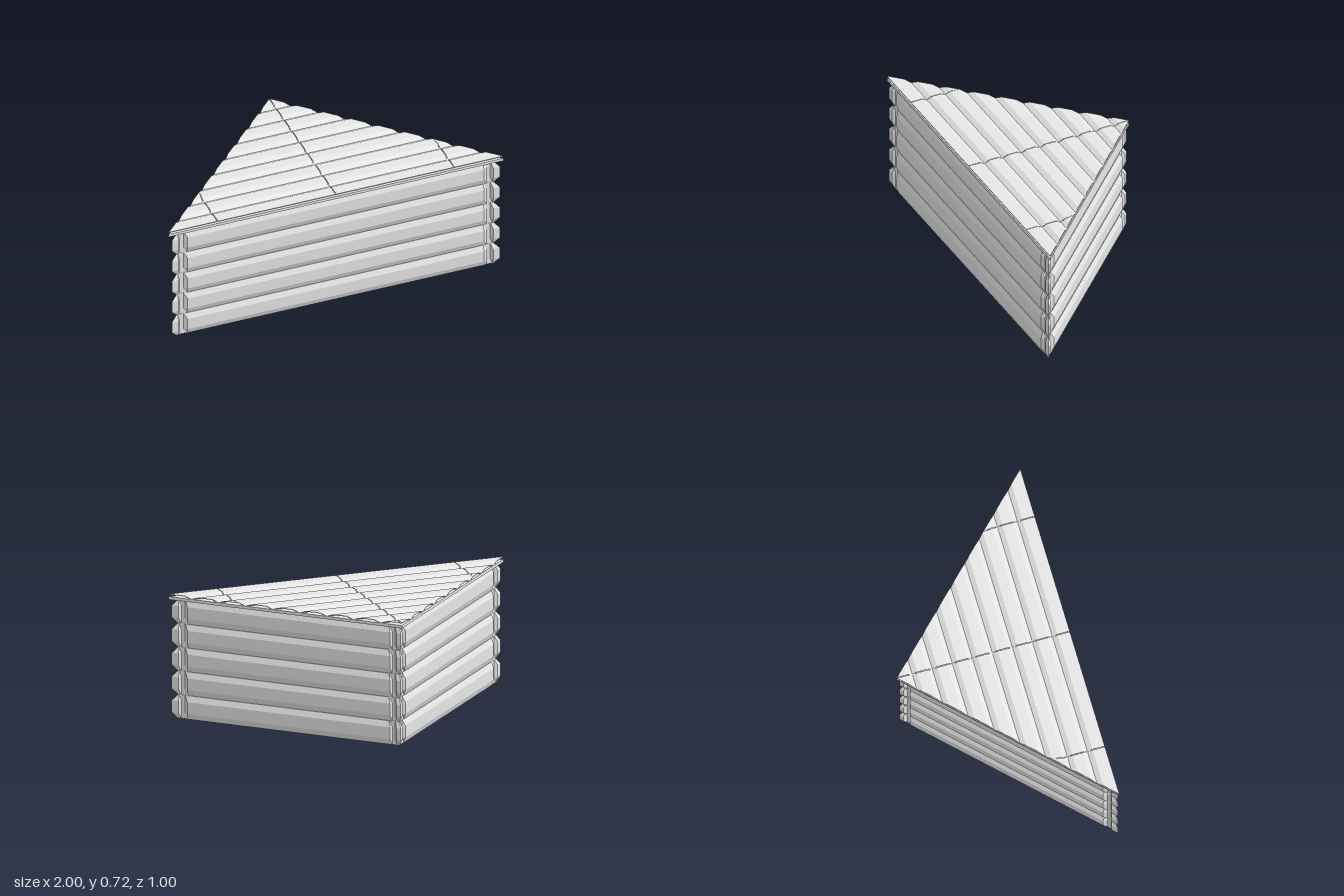
import * as THREE from 'three';

const grey = new THREE.MeshStandardMaterial({ color: 0xe7e7e7, side: THREE.DoubleSide });
grey.name = 'light grey';

// Corners of the triangular plan, moved inward by d at the sides and f at the front
const corners = (d, f = d) => {
  const x = 1 - f - Math.SQRT2 * d;
  return [
    new THREE.Vector3(-x, 0, 0.5 - f),
    new THREE.Vector3(x, 0, 0.5 - f),
    new THREE.Vector3(0, 0, -0.5 + Math.SQRT2 * d),
  ];
};

// Flat-faced skin over a row of closed cross-sections
function loft(name, sections) {
  const pos = [];
  const tri = (...pts) => pts.forEach((p) => pos.push(p.x, p.y, p.z));
  const n = sections[0].length;
  for (let i = 0; i < sections.length - 1; i++) {
    for (let j = 0; j < n; j++) {
      const k = (j + 1) % n;
      const a = sections[i][j], b = sections[i][k];
      const c = sections[i + 1][j], d = sections[i + 1][k];
      tri(a, c, b);
      tri(b, c, d);
    }
  }
  const geo = new THREE.BufferGeometry();
  geo.setAttribute('position', new THREE.Float32BufferAttribute(pos, 3));
  geo.computeVertexNormals();
  const mesh = new THREE.Mesh(geo, grey);
  mesh.name = name;
  return mesh;
}

// Notches near the log ends: distance from the corner, whether cut in, whether mitred
const frontNotch = [[0], [0.04], [0.052, true], [0.075, true], [0.095]];
const backNotch = [[0], [0.025], [0.04, true], [0.057, true], [0.065, false, true]];

// One bevelled log along a side of the plan, notched near each end
function log(side, y0, h) {
  const FACE = 0.012, SEAM = 0.025, INNER = 0.033, NECK = 0.028, FRONT = 0.01;
  const plan = (d) => corners(d, d - FRONT);
  const profile = [[0, SEAM], [0.25, FACE], [0.75, FACE], [1, SEAM], [1, INNER], [0, INNER]];
  const end = (i, j) => (i === 2 ? backNotch : frontNotch).map(([dist, neck, mitred]) =>
    profile.map(([v, d]) => {
      const c = plan(neck ? Math.max(d, NECK) : d);
      const dir = c[j].clone().sub(c[i]).normalize();
      const skip = mitred ? 0 : c[i].clone().sub(plan(FACE)[i]).dot(dir);
      return c[i].clone().addScaledVector(dir, Math.max(0, dist - skip)).setY(y0 + v * h);
    }));
  const next = (side + 1) % 3;
  return loft('wallLog', [...end(side, next), ...end(next, side).reverse()]);
}

// A thin bent board across the triangle; profile lists [z, y] from front to back
function board(profile, xa, xb) {
  const thickness = 0.003;
  const edge = (right, drop) => profile.map(([z, y]) => {
    const w = Math.max(0, z + 0.5);
    const lo = Math.min(w, Math.max(-w, xa));
    const hi = Math.max(lo, Math.min(w, xb));
    return new THREE.Vector3(right ? hi : lo, y - drop, z);
  });
  const ring = (right, drop) => [...edge(right, 0), ...edge(right, drop).reverse()];
  return loft('roofBoard', [ring(true, 0), ring(true, thickness), ring(false, thickness), ring(false, 0)]);
}

export function createModel() {
  const model = new THREE.Group();
  model.name = 'triangularLogBlock';

  // Five courses of logs on three sides, open underneath
  const walls = new THREE.Group();
  walls.name = 'walls';
  const pitch = 0.1376;
  for (let row = 0; row < 5; row++) {
    for (let side = 0; side < 3; side++) walls.add(log(side, row * pitch, pitch - 0.001));
  }
  model.add(walls);

  // Roof deck
  const roof = new THREE.Group();
  roof.name = 'roof';
  const plan = new THREE.Shape(corners(0).map((p) => new THREE.Vector2(p.x, -p.z)));
  const deckGeo = new THREE.ExtrudeGeometry(plan, { depth: 0.017, bevelEnabled: false });
  const deck = new THREE.Mesh(deckGeo.rotateX(-Math.PI / 2).translate(0, 0.688, 0), grey);
  deck.name = 'roofDeck';
  roof.add(deck);

  // Bevelled boards on the deck, split by narrow joints
  const low = 0.7055, high = 0.72, bevel = 0.028, width = 0.1157;
  const joints = [-1, -0.707, 0, 0.707, 1];
  for (let i = 0; i < 9; i++) {
    const z0 = 0.516 - i * width;
    const z1 = z0 - width;
    const profile = [[z0 - bevel, high], [Math.max(-0.5, z1 + bevel), high]];
    if (i > 0) profile.unshift([z0, low]);
    else profile[0][0] = 0.5;
    if (i < 8) profile.push([z1, low]);
    for (let j = 0; j < 4; j++) {
      const xa = joints[j] + (j > 0 ? 0.002 : 0);
      const xb = joints[j + 1] - (j < 3 ? 0.002 : 0);
      const w = profile[0][0] + 0.5;
      if (xa < w && xb > -w) roof.add(board(profile, xa, xb));
    }
  }
  model.add(roof);
  return model;
}
